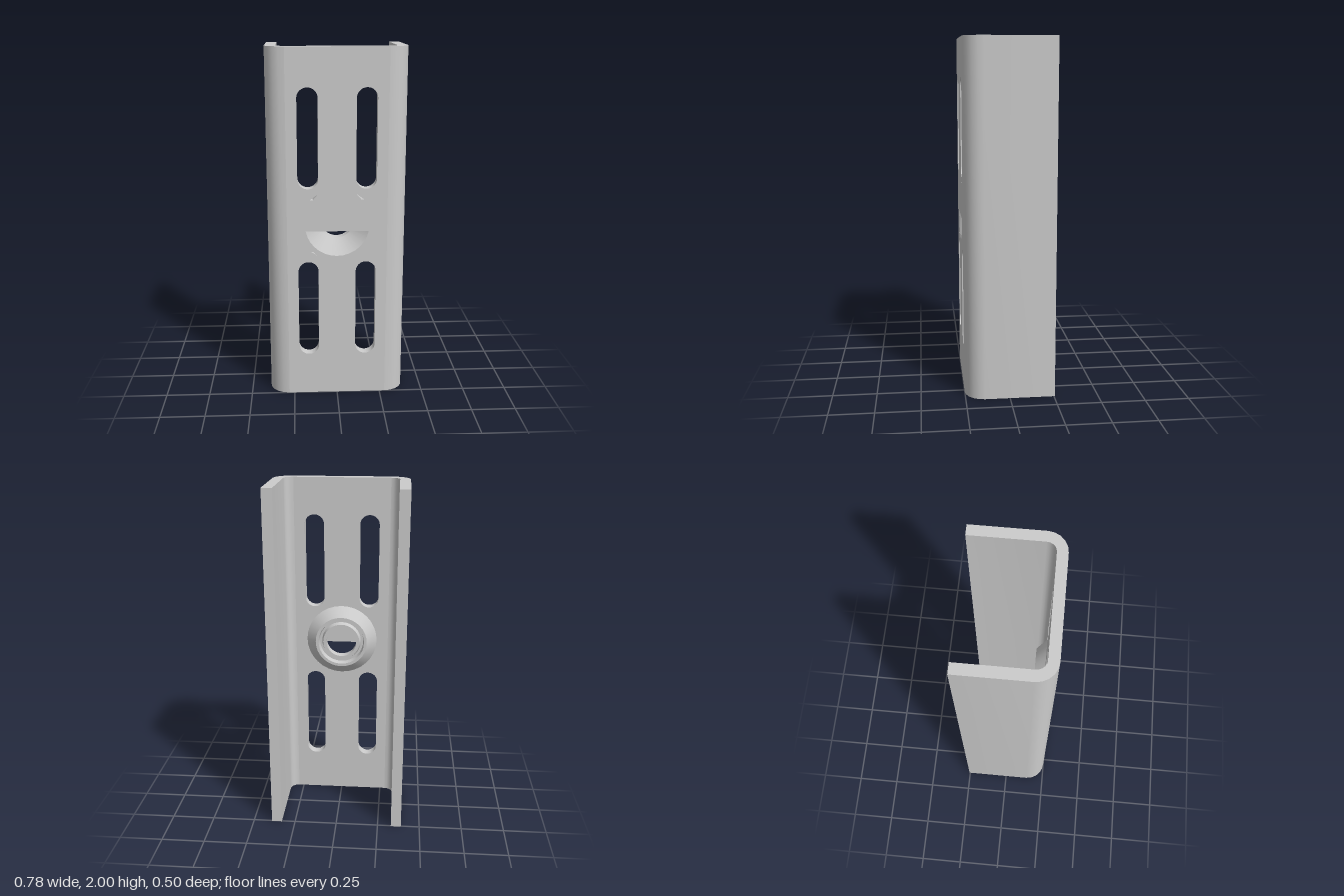
import * as THREE from 'three';
import { toCreasedNormals } from 'three/addons/utils/BufferGeometryUtils.js';

const HEIGHT = 2, FRONT = 0.25, INNER = 0.193, BACK = -0.255;
const HOLE_Y = 1.025, HOLE_R = 0.18, COVER_Y = 0.99;

export function createModel() {
  const model = new THREE.Group();
  const material = new THREE.MeshStandardMaterial({ color: 0xcccccc, side: THREE.DoubleSide });

  const add = (name, geometry) => {
    const mesh = new THREE.Mesh(toCreasedNormals(geometry, 0.6), material);
    mesh.name = name;
    model.add(mesh);
    return mesh;
  };

  // Side flanges with their rounded bends, extruded up the full height
  const flange = (side) => {
    const points = [[0.39, BACK]];
    const steps = 5;
    for (let i = 0; i <= steps; i++) {
      const a = (i / steps) * Math.PI / 2;
      points.push([0.28 + 0.11 * Math.cos(a), 0.14 + 0.11 * Math.sin(a)]);
    }
    for (let i = steps; i >= 0; i--) {
      const a = (i / steps) * Math.PI / 2;
      points.push([0.28 + 0.05 * Math.cos(a), 0.14 + 0.053 * Math.sin(a)]);
    }
    points.push([0.33, BACK]);
    const shape = new THREE.Shape(points.map(([x, z]) => new THREE.Vector2(side * x, -z)));
    return new THREE.ExtrudeGeometry(shape, { depth: HEIGHT, bevelEnabled: false }).rotateX(-Math.PI / 2);
  };
  add('leftFlange', flange(1));
  add('rightFlange', flange(-1));

  // Front web with four long slots and the central opening
  const polygon = (points) => new THREE.Path(points.map(([x, y]) => new THREE.Vector2(x, y)));
  const slot = (x, low, high, r = 0.057) => {
    const path = new THREE.Path();
    path.absarc(x, high - r, r, 0, Math.PI, false);
    path.absarc(x, low + r, r, Math.PI, Math.PI * 2, false);
    path.closePath();
    return path;
  };
  const web = new THREE.Shape(polygon([[-0.28, 0], [0.28, 0], [0.28, HEIGHT], [-0.28, HEIGHT]]).getPoints());
  const opening = new THREE.Path();
  opening.absarc(0, HOLE_Y, HOLE_R, 0, Math.PI * 2, false);
  web.holes.push(opening);
  for (const side of [-1, 1]) {
    web.holes.push(slot(side * 0.162, 1.232, 1.787), slot(side * 0.162, 0.247, 0.81));
    // Small slits beside the dimple
    web.holes.push(
      polygon([[side * 0.105, 1.205], [side * 0.152, 1.17], [side * 0.135, 1.17]]),
      polygon([[side * 0.112, 0.848], [side * 0.145, 0.87], [side * 0.135, 0.87]])
    );
  }
  add('web', new THREE.ExtrudeGeometry(web, {
    depth: FRONT - INNER, bevelEnabled: false, curveSegments: 16
  }).translate(0, 0, INNER));

  // Flat skin closing the upper part of the opening
  const cover = new THREE.Shape();
  const start = Math.asin((COVER_Y - HOLE_Y) / HOLE_R);
  cover.absarc(0, HOLE_Y, HOLE_R, start, Math.PI - start, false);
  add('openingCover', new THREE.ShapeGeometry(cover, 24).translate(0, 0, FRONT));

  // Pressed dimple: countersink, hole wall, inner lip, groove and outer cone
  const profile = [
    [HOLE_R, FRONT], [0.09, 0.19], [0.09, 0.14], [0.11, 0.14],
    [0.118, 0.17], [0.132, 0.17], [0.138, 0.135], [0.155, 0.135], [0.212, INNER]
  ].map(([r, z]) => new THREE.Vector2(r, z));
  add('dimple', new THREE.LatheGeometry(profile, 32).rotateX(Math.PI / 2)).position.y = HOLE_Y;

  return model;
}
